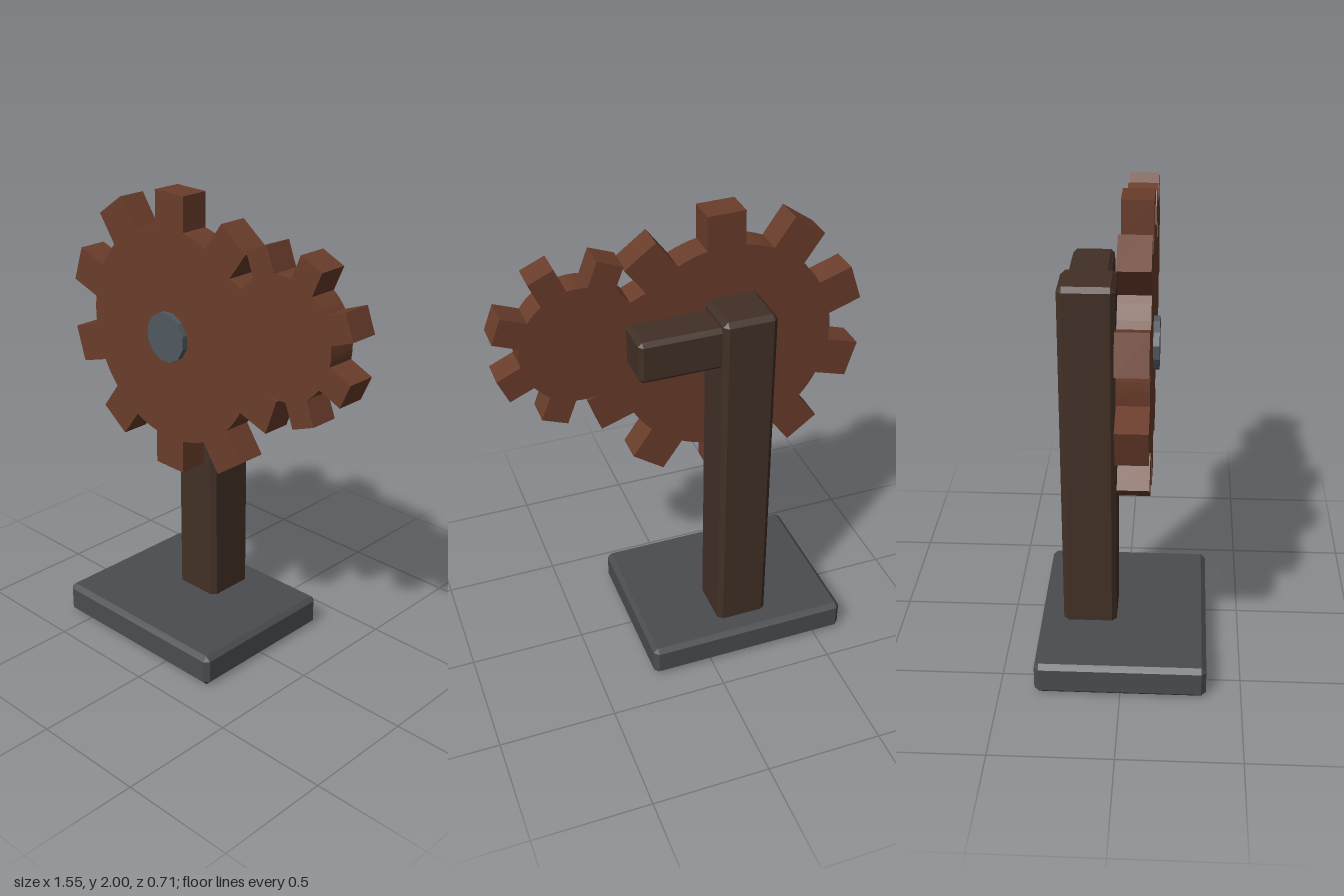
import * as THREE from 'three';
import { ConvexGeometry } from 'three/addons/geometries/ConvexGeometry.js';

const material = (color) => new THREE.MeshStandardMaterial({ color, flatShading: true });
const stone = material(0x4a4c4f);
const darkWood = material(0x423026);
const gearWood = material(0x6a3d2b);
const metal = material(0x50585f);

// Box with all edges chamfered, given by its minimum and maximum corners
function chamferedBox(name, min, max, c, mat) {
  const half = min.map((v, i) => (max[i] - v) / 2);
  const points = [];
  for (const sx of [-1, 1]) for (const sy of [-1, 1]) for (const sz of [-1, 1]) {
    for (let axis = 0; axis < 3; axis++) {
      const p = [sx, sy, sz].map((s, i) => s * (half[i] - (i === axis ? 0 : c)));
      points.push(new THREE.Vector3(...p));
    }
  }
  const mesh = new THREE.Mesh(new ConvexGeometry(points), mat);
  mesh.position.set(...min.map((v, i) => v + half[i]));
  mesh.name = name;
  return mesh;
}

// Flat gear: round body with straight, square-ended teeth
function gear(name, x, y, { teeth, root, tip, width, turn }) {
  const pts = [];
  const step = (Math.PI * 2) / teeth;
  const halfAngle = Math.asin(width / 2 / root);
  const arcSteps = 4;
  for (let i = 0; i < teeth; i++) {
    const a = THREE.MathUtils.degToRad(turn) + i * step;
    const dir = new THREE.Vector2(Math.cos(a), Math.sin(a));
    const side = new THREE.Vector2(-dir.y, dir.x);
    for (const s of [-1, 1]) {
      pts.push(dir.clone().multiplyScalar(tip).addScaledVector(side, s * width / 2));
    }
    for (let k = 0; k <= arcSteps; k++) {
      const b = a + halfAngle + (step - 2 * halfAngle) * k / arcSteps;
      pts.push(new THREE.Vector2(Math.cos(b) * root, Math.sin(b) * root));
    }
  }
  const geometry = new THREE.ExtrudeGeometry(new THREE.Shape(pts), { depth: 0.125, bevelEnabled: false });
  const mesh = new THREE.Mesh(geometry, gearWood);
  mesh.position.set(x, y, -0.01);
  mesh.name = name;
  return mesh;
}

export function createModel() {
  const model = new THREE.Group();
  model.name = 'gearStand';

  // Stand: base plate, upright post and side arm
  model.add(
    chamferedBox('base', [-0.625, 0, -0.355], [0.265, 0.14, 0.355], 0.02, stone),
    chamferedBox('post', [-0.295, 0.1, -0.258], [-0.07, 1.665, -0.03], 0.02, darkWood),
    chamferedBox('arm', [-0.18, 1.455, -0.235], [0.265, 1.635, -0.06], 0.017, darkWood),
  );

  // Meshing gears in one plane
  model.add(
    gear('largeGear', -0.18, 1.4, { teeth: 10, root: 0.46, tip: 0.599, width: 0.16, turn: 17 }),
    gear('smallGear', 0.425, 1.54, { teeth: 8, root: 0.25, tip: 0.353, width: 0.112, turn: 21 }),
  );

  // Axle through the large gear into the post
  const axleGeometry = new THREE.CylinderGeometry(0.107, 0.107, 0.19, 12);
  axleGeometry.rotateY(Math.PI / 12).rotateX(Math.PI / 2);
  const axle = new THREE.Mesh(axleGeometry, metal);
  axle.position.set(-0.18, 1.4, 0.045);
  axle.name = 'axle';
  model.add(axle);

  return model;
}
